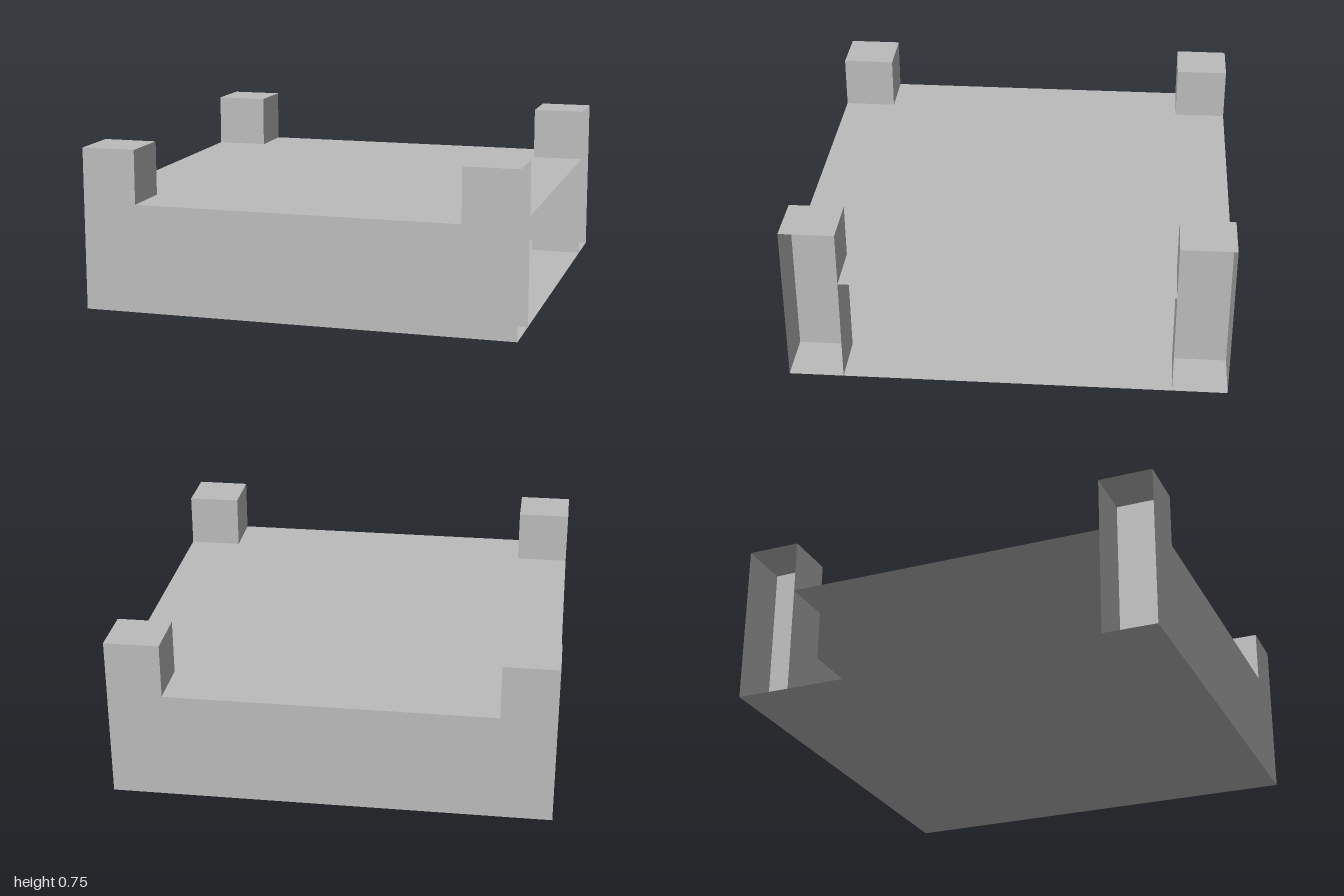
import * as THREE from 'three';

const HALF = 1, INNER = 0.75, DECK = 0.5, TALL = 0.75, POST = HALF - INNER;

function shapeOf(points) {
  return new THREE.ShapeGeometry(new THREE.Shape(points.map(([x, y]) => new THREE.Vector2(x, y))));
}

export function createModel() {
  const group = new THREE.Group();
  const grey = new THREE.MeshStandardMaterial({ color: 0xbcbcbc, side: THREE.DoubleSide });
  grey.name = 'plain grey';

  const add = (name, geometry, x, y, z, rx = 0, ry = 0) => {
    const mesh = new THREE.Mesh(geometry, grey);
    mesh.name = name;
    mesh.position.set(x, y, z);
    mesh.rotation.set(rx, ry, 0);
    group.add(mesh);
  };

  // Front and back walls, rising into a post at each end
  const wall = shapeOf([
    [-HALF, 0], [HALF, 0], [HALF, TALL], [INNER, TALL],
    [INNER, DECK], [-INNER, DECK], [-INNER, TALL], [-HALF, TALL],
  ]);
  add('frontWall', wall, 0, 0, HALF);
  add('backWall', wall, 0, 0, -HALF, 0, Math.PI);

  // Floor faces down
  add('floor', new THREE.PlaneGeometry(2 * HALF, 2 * HALF), 0, 0, 0, Math.PI / 2);

  // Deck with the four post corners left out
  const deck = shapeOf([
    [-INNER, -HALF], [INNER, -HALF], [INNER, -INNER], [HALF, -INNER],
    [HALF, INNER], [INNER, INNER], [INNER, HALF], [-INNER, HALF],
    [-INNER, INNER], [-HALF, INNER], [-HALF, -INNER], [-INNER, -INNER],
  ]);
  add('deck', deck, 0, DECK, 0, -Math.PI / 2);

  // Corner posts, open on their outer left and right sides
  const side = new THREE.PlaneGeometry(POST, TALL);
  const cap = new THREE.PlaneGeometry(POST, POST);
  const mid = (HALF + INNER) / 2;
  for (const sx of [-1, 1]) {
    for (const sz of [-1, 1]) {
      add('postCap', cap, sx * mid, TALL, sz * mid, -Math.PI / 2);
      add('postInnerEnd', side, sx * mid, TALL / 2, sz * INNER, 0, sz > 0 ? Math.PI : 0);
      add('postInnerSide', side, sx * INNER, TALL / 2, sz * mid, 0, -sx * Math.PI / 2);
    }
  }
  return group;
}
